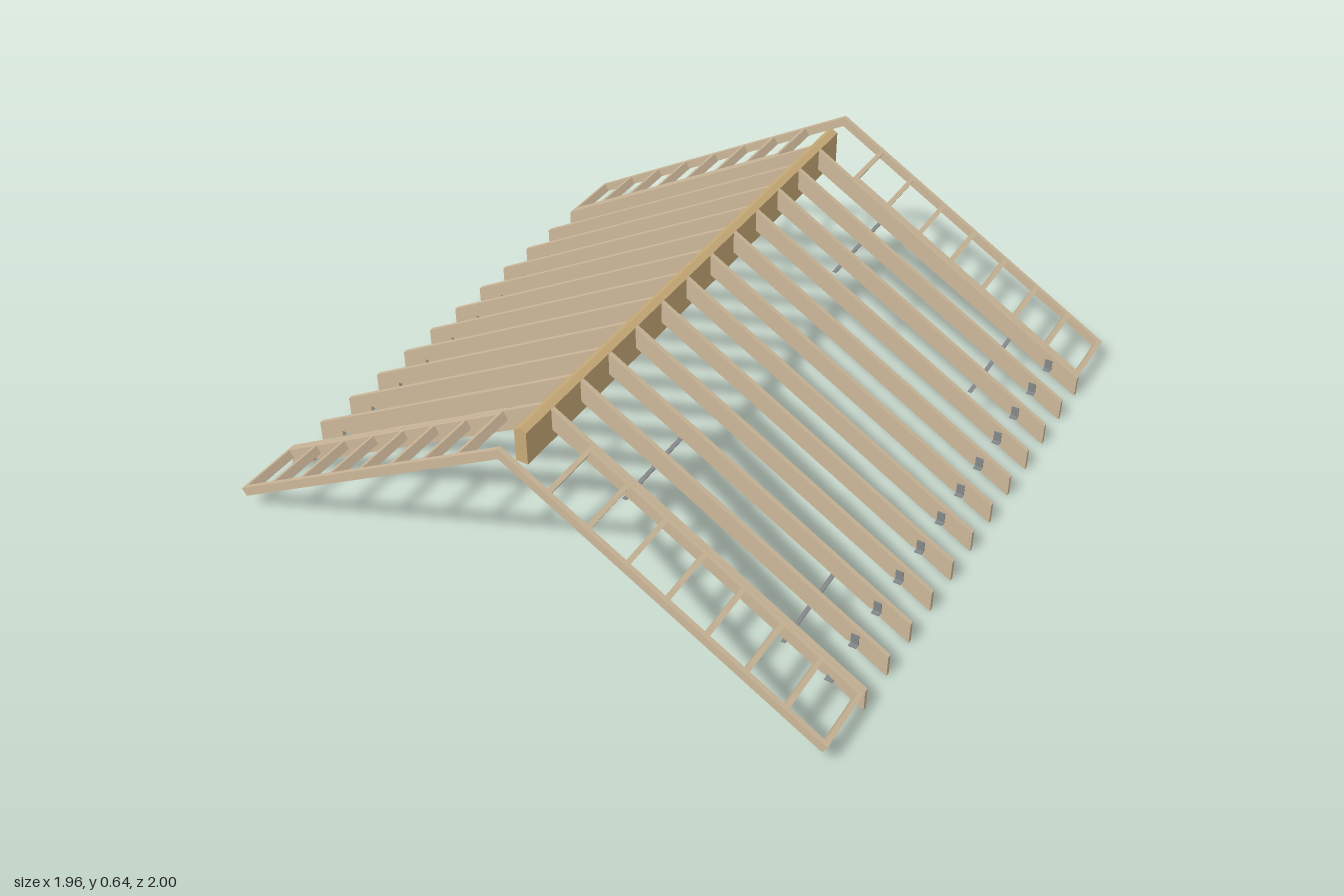
import * as THREE from 'three';

const APEX = 0.642, EAVE_X = 0.98, EAVE_Y = 0.07;
const K = (APEX - EAVE_Y) / EAVE_X;              // roof slope
const ANGLE = Math.atan(K), SIN = Math.sin(ANGLE), COS = Math.cos(ANGLE);
const DROP = 0.07;                               // rafter depth, measured plumb
const LADDER = 0.028;                            // gable ladder depth, square to the slope
const T = 0.015;                                 // timber thickness
const top = x => APEX - K * x;
const under = (x, d) => [x - SIN * d, top(x) - COS * d];

const timber = new THREE.MeshStandardMaterial({ color: 0xcdb89a });
const ridgeWood = new THREE.MeshStandardMaterial({ color: 0xc8ab78 });
const steel = new THREE.MeshStandardMaterial({ color: 0x85888a });

// Side profile (x, y) extruded from z0 to z1; side -1 mirrors it in x
function prism(name, pts, side, z0, z1, material) {
  const shape = new THREE.Shape(pts.map(([x, y]) => new THREE.Vector2(x * side, y)));
  const a = Math.min(z0, z1), b = Math.max(z0, z1);
  const geo = new THREE.ExtrudeGeometry(shape, { depth: b - a, bevelEnabled: false });
  geo.translate(0, 0, a);
  const mesh = new THREE.Mesh(geo, material);
  mesh.name = name;
  return mesh;
}

function box(name, w, h, d, x, y, z, material) {
  const mesh = new THREE.Mesh(new THREE.BoxGeometry(w, h, d), material);
  mesh.position.set(x, y, z);
  mesh.name = name;
  return mesh;
}

// Piece of the slope between two x positions, cut square at both ends
const slopePiece = (x0, x1, depth) => [[x0, top(x0)], [x1, top(x1)], under(x1, depth), under(x0, depth)];

export function createModel() {
  const root = new THREE.Group();
  root.name = 'roofFrame';

  // Ridge beam with a top bevelled to the roof pitch
  const B = 0.019;
  root.add(prism('ridgeBeam', [[-B, 0.525], [B, 0.525], [B, top(B)], [0, APEX], [-B, top(B)]], 1, -0.9, 0.9, ridgeWood));

  // Rafter profile: plumb cuts at both ends, notch where it sits on the wall
  const seatY = 0.074, seatX = (APEX - DROP - seatY) / K, heelX = 0.89;
  const rafter = [
    [B, top(B)], [EAVE_X, EAVE_Y], [EAVE_X, EAVE_Y - DROP],
    [heelX, top(heelX) - DROP], [heelX, seatY], [seatX, seatY], [B, top(B) - DROP],
  ];

  for (const side of [1, -1]) {
    const slope = new THREE.Group();
    slope.name = side > 0 ? 'leftSlope' : 'rightSlope';
    root.add(slope);

    for (let i = 0; i < 12; i++) {
      const z = (i - 5.5) * 0.1409;
      slope.add(prism('rafter', rafter, side, z - T / 2, z + T / 2, timber));
      // Angle clip fixing the rafter to the wall
      const face = z + side * T / 2;
      slope.add(box('clipFoot', 0.024, 0.003, 0.017, side * 0.88, seatY, face + side * 0.0085, steel));
      slope.add(box('clipLeg', 0.024, 0.034, 0.003, side * 0.88, seatY + 0.017, face + side * 0.0015, steel));
    }

    for (const end of [1, -1]) {
      // Gable ladder: barge board, inner rail and rungs
      const ladder = new THREE.Group();
      ladder.name = 'gableLadder';
      slope.add(ladder);
      const barge = [[0, APEX], [EAVE_X, EAVE_Y], under(EAVE_X, LADDER), [0, APEX - LADDER / COS]];
      ladder.add(prism('bargeBoard', barge, side, end * 0.985, end, timber));
      const first = 0.141, rungW = 0.013;
      ladder.add(prism('innerRail', slopePiece(first, EAVE_X, LADDER), side, end * 0.784, end * 0.8, timber));
      for (let i = 0; i < 8; i++) {
        const x = first + i * (EAVE_X - rungW - first) / 7;
        ladder.add(prism('rung', slopePiece(x, x + rungW, LADDER), side, end * 0.8, end * 0.985, timber));
      }
      // Restraint straps below the rafters
      for (const x of [0.245, 0.735]) {
        slope.add(box('restraintStrap', 0.013, 0.003, 0.33, side * x, top(x) - DROP - 0.012, end * 0.62, steel));
      }
    }
  }
  return root;
}
